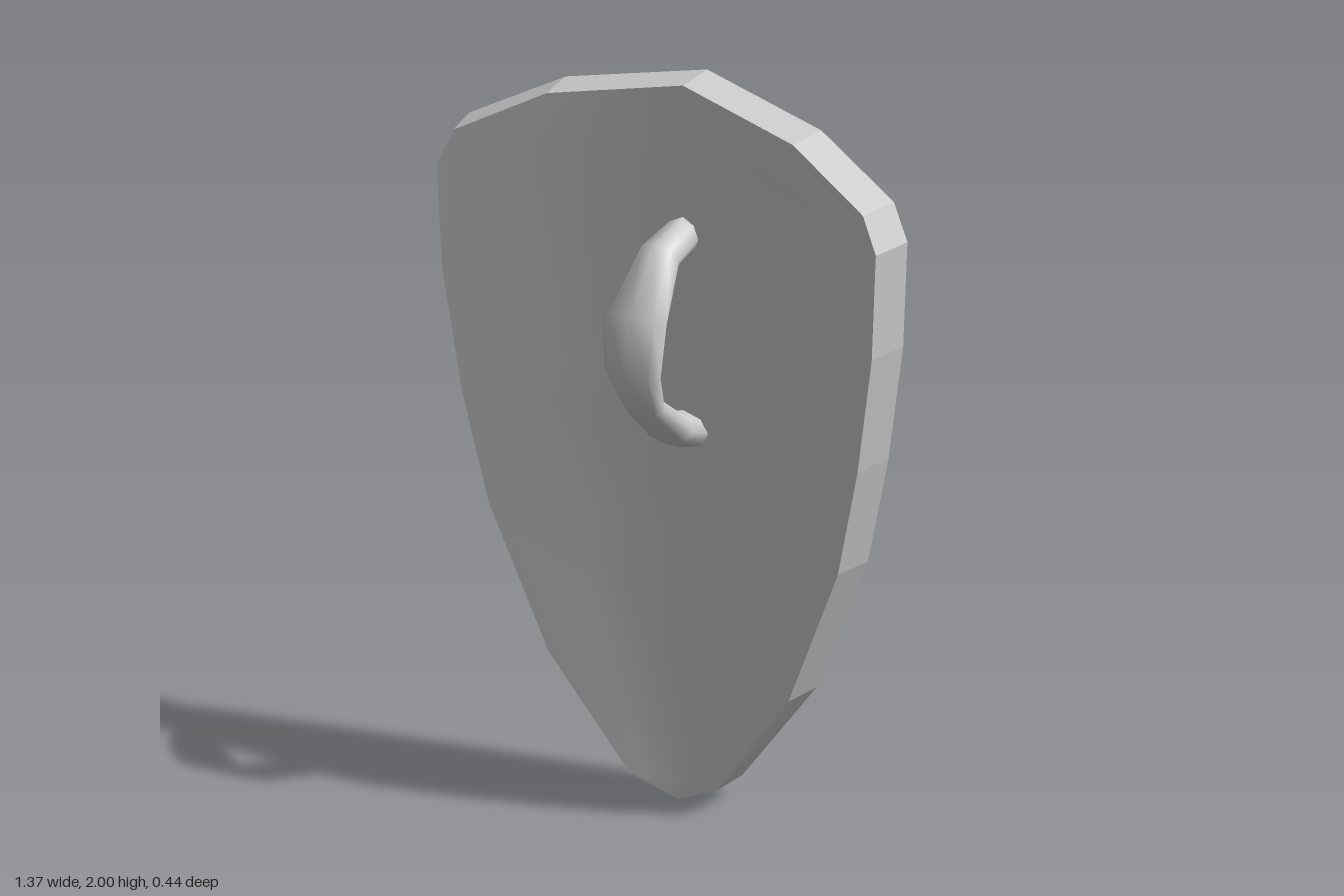
import * as THREE from 'three';
import { mergeVertices } from 'three/addons/utils/BufferGeometryUtils.js';

const material = new THREE.MeshStandardMaterial({ color: 0xcccccc });

// Half outlines [x, y] from top centre to bottom centre
const outer = [[0, 2], [0.37, 1.93], [0.615, 1.8], [0.66, 1.7], [0.645, 1.4], [0.61, 1.17],
  [0.595, 1.07], [0.525, 0.76], [0.36, 0.36], [0.13, 0.055], [0, 0]];
const recess = [[0, 1.84], [0.29, 1.79], [0.505, 1.65], [0.495, 1.4], [0.425, 1.23], [0.345, 1.14],
  [0.405, 1.02], [0.385, 0.78], [0.235, 0.4], [0.07, 0.2], [0, 0.16]];
const scaled = (half, sx, sy = 1) => half.map(([x, y]) => [x * sx, 1 + (y - 1) * sy]);
const outerBack = scaled(outer, 1.038);
const recessFloor = scaled(recess, 0.965, 0.985);

// Depth of the front face: a shallow trough, pulled forward near the tip
const spine = [[0, -0.06], [0.28, -0.075], [0.5, -0.095], [2, -0.09]];
function depth(x, y) {
  const i = spine.findIndex((p, k) => k > 0 && (y <= p[0] || k === spine.length - 1));
  const [y0, z0] = spine[i - 1], [y1, z1] = spine[i];
  const a = Math.abs(x);
  const bend = a < 0.37 ? 0.19 * a : 0.07 + 0.25 * (a - 0.37);
  return z0 + (z1 - z0) * (y - y0) / (y1 - y0) + bend;
}
const onShield = (x, y, offset) => [x, y, depth(x, y) - offset];

// Skin joining rows of points; faces look along column direction x row direction
function skin(name, rows, flat = false) {
  const n = rows[0].length, index = [];
  for (let i = 0; i < rows.length - 1; i++) {
    for (let j = 0; j < n - 1; j++) {
      const a = i * n + j, b = a + 1, c = a + n, d = c + 1;
      index.push(a, b, c, b, d, c);
    }
  }
  let geometry = new THREE.BufferGeometry();
  geometry.setAttribute('position', new THREE.Float32BufferAttribute(rows.flat(2), 3));
  geometry.setIndex(index);
  geometry = flat ? geometry.toNonIndexed() : mergeVertices(geometry);
  geometry.computeVertexNormals();
  const mesh = new THREE.Mesh(geometry, material);
  mesh.name = name;
  return mesh;
}

// Full clockwise loop of a mirrored half outline
function loop(half, offset) {
  const mirrored = half.slice(0, -1).reverse().map(([x, y]) => [-x, y]);
  return [...half, ...mirrored].map(([x, y]) => onShield(x, y, offset));
}

// Filled panel of a half outline, facing front (+1) or back (-1)
function panel(name, half, offset, facing) {
  const columns = [1, 0.56, 0, -0.56, -1];
  return skin(name, half.map(([x, y]) => columns.map(t => onShield(t * x * facing, y, offset))));
}

// Bent grip: sections [y, z, half width, half thickness] from top to bottom
function createHandle() {
  const sections = [[1.58, -0.1, 0.05, 0.05], [1.56, 0.035, 0.06, 0.05], [1.43, 0.165, 0.095, 0.038],
    [1.285, 0.18, 0.086, 0.04], [1.165, 0.11, 0.06, 0.036], [1.06, -0.02, 0.072, 0.045],
    [1.03, -0.1, 0.087, 0.05]];
  const sides = 8;
  const rows = sections.map(([y, z, w, t], i) => {
    const p = sections[Math.max(i - 1, 0)], q = sections[Math.min(i + 1, sections.length - 1)];
    const length = Math.hypot(q[0] - p[0], q[1] - p[1]);
    const ny = (q[1] - p[1]) / length, nz = (p[0] - q[0]) / length;
    return Array.from({ length: sides + 1 }, (_, j) => {
      const a = (j % sides) / sides * Math.PI * 2, s = t * Math.sin(a);
      return [w * Math.cos(a), y + ny * s, z + nz * s];
    });
  });
  return skin('handle', rows);
}

export function createModel() {
  const thickness = 0.13, floorOffset = 0.1;
  const group = new THREE.Group();
  group.name = 'shield';
  group.add(
    panel('gripSideFace', outer, 0, 1),
    skin('outerEdge', [loop(outer, 0), loop(outerBack, thickness)], true),
    skin('raisedRim', [loop(outerBack, thickness), loop(recess, thickness)]),
    skin('recessWall', [loop(recess, thickness), loop(recessFloor, floorOffset)], true),
    panel('recessFloor', recessFloor, floorOffset, -1),
    createHandle(),
  );
  return group;
}
